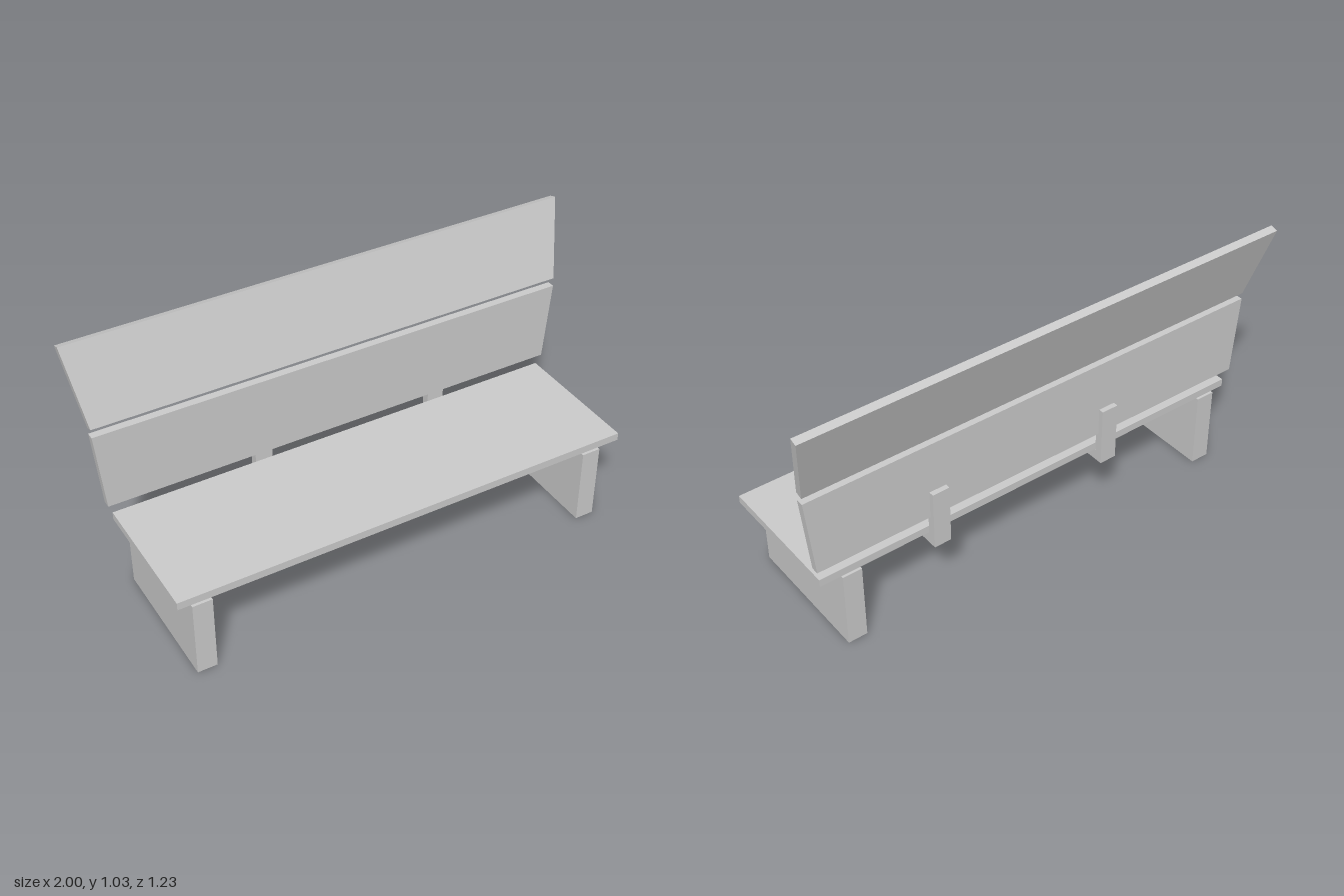
import * as THREE from 'three';

const material = new THREE.MeshStandardMaterial({ color: 0xcccccc, flatShading: true });

// Box given by its centre in x and its lower/upper limits in y and z
function block(name, x, width, y0, y1, z0, z1) {
  const mesh = new THREE.Mesh(new THREE.BoxGeometry(width, y1 - y0, z1 - z0), material);
  mesh.name = name;
  mesh.position.set(x, (y0 + y1) / 2, (z0 + z1) / 2);
  return mesh;
}

// Plank that widens towards its top, hinged at its lower back edge
function backBoard(name, y, bottomHalf, topHalf, height, lean) {
  const shape = new THREE.Shape([
    new THREE.Vector2(-bottomHalf, 0),
    new THREE.Vector2(bottomHalf, 0),
    new THREE.Vector2(topHalf, height),
    new THREE.Vector2(-topHalf, height),
  ]);
  const geometry = new THREE.ExtrudeGeometry(shape, { depth: 0.03, bevelEnabled: false });
  const mesh = new THREE.Mesh(geometry, material);
  mesh.name = name;
  mesh.position.set(-0.004, y, -0.276);
  mesh.rotation.x = -lean;
  return mesh;
}

export function createModel() {
  const model = new THREE.Group();
  model.name = 'bench';

  // The whole bench stands at an angle
  const bench = new THREE.Group();
  bench.name = 'benchBody';
  bench.rotation.y = THREE.MathUtils.degToRad(19.7);
  bench.position.set(0.0615, 0, 0.0665);
  model.add(bench);

  bench.add(block('seat', 0, 1.805, 0.313, 0.343, -0.264, 0.264));

  // Slab legs
  for (const [name, x] of [['leftLeg', 0.779], ['rightLeg', -0.814]]) {
    bench.add(block(name, x, 0.075, 0, 0.306, -0.268, 0.268));
  }

  // L-shaped brackets: a post behind the seat and an arm beneath it
  for (const [name, x] of [['leftBracket', 0.432], ['rightBracket', -0.306]]) {
    const bracket = new THREE.Group();
    bracket.name = name;
    bracket.add(
      block('bracketPost', x, 0.068, 0.31, 0.5, -0.296, -0.264),
      block('bracketArm', x, 0.068, 0.266, 0.31, -0.296, -0.106),
    );
    bench.add(bracket);
  }

  // Upright lower board and reclined upper board
  bench.add(backBoard('lowerBackBoard', 0.39, 0.917, 0.945, 0.31, 0));
  bench.add(backBoard('upperBackBoard', 0.724, 0.945, 0.991, 0.308, 0.3));

  return model;
}
